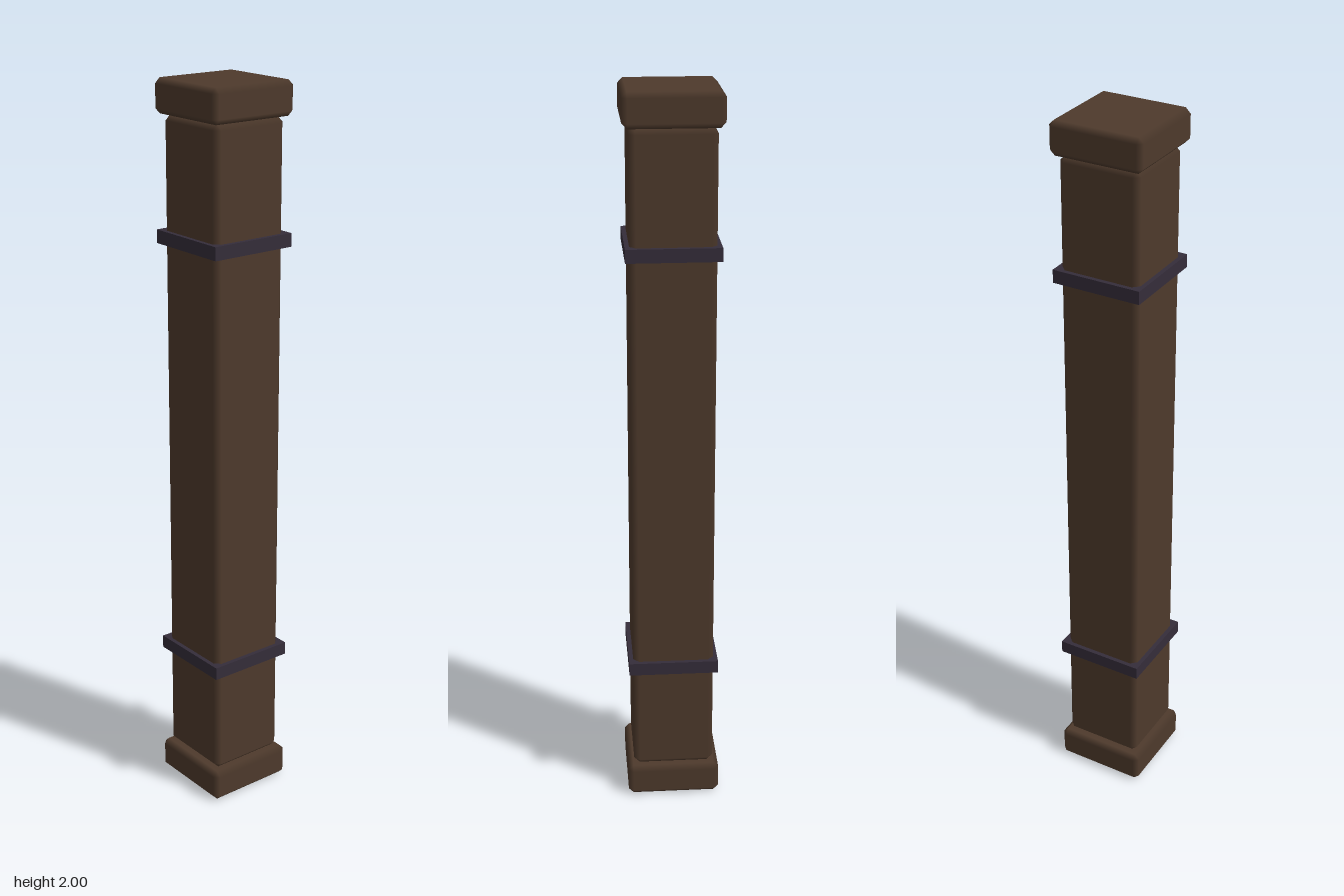
import * as THREE from 'three';
import { ConvexGeometry } from 'three/addons/geometries/ConvexGeometry.js';

// Box with one soft-shaded chamfer along every edge.
function chamferBox(width, height, chamfer) {
  const half = [width / 2, height / 2, width / 2];
  const points = [];
  for (const sx of [-1, 1]) for (const sy of [-1, 1]) for (const sz of [-1, 1]) {
    for (let axis = 0; axis < 3; axis++) {
      const p = [sx, sy, sz].map((s, i) => s * (half[i] - (i === axis ? 0 : chamfer)));
      points.push(new THREE.Vector3(...p));
    }
  }
  const geometry = new ConvexGeometry(points);
  // Each corner takes the normal of the flat face it touches, so chamfers blend.
  const position = geometry.attributes.position;
  const normal = geometry.attributes.normal;
  for (let i = 0; i < position.count; i++) {
    const p = [position.getX(i), position.getY(i), position.getZ(i)];
    const n = p.map((v, k) => (Math.abs(v) > half[k] - chamfer / 2 ? Math.sign(v) : 0));
    normal.setXYZ(i, ...n);
  }
  return geometry;
}

export function createModel() {
  const group = new THREE.Group();
  const wood = new THREE.MeshStandardMaterial({ color: 0x4e3a2c });
  wood.name = 'dark wood';
  const iron = new THREE.MeshStandardMaterial({ color: 0x352d3a });
  iron.name = 'dark iron';

  function add(name, geometry, material, y) {
    const mesh = new THREE.Mesh(geometry, material);
    mesh.name = name;
    mesh.position.y = y;
    group.add(mesh);
  }

  // Square post between two wider blocks
  add('shaft', chamferBox(0.224, 1.82, 0.016), wood, 1);
  add('base', chamferBox(0.258, 0.09, 0.014), wood, 0.045);
  add('capital', chamferBox(0.258, 0.09, 0.014), wood, 1.955);

  // Metal straps round the post
  const band = new THREE.BoxGeometry(0.248, 0.036, 0.248);
  add('lowerBand', band, iron, 0.409);
  add('upperBand', band, iron, 1.593);

  return group;
}
